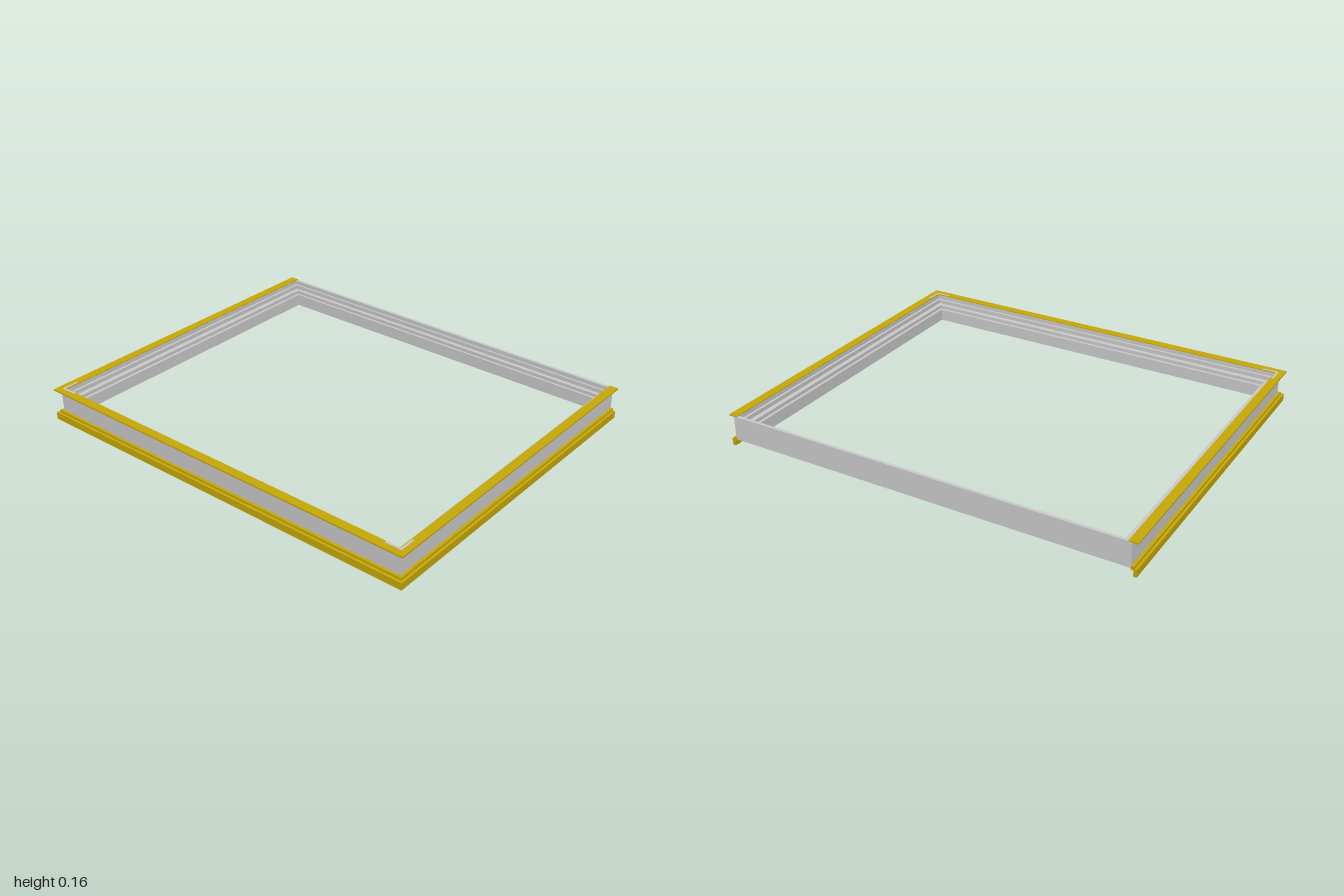
import * as THREE from 'three';

const grey = new THREE.MeshStandardMaterial({ color: 0xcccccc, flatShading: true });
const yellow = new THREE.MeshStandardMaterial({ color: 0xc8aa08, flatShading: true });

const HALF_X = 0.975, FRONT = 0.805, BACK = -0.83;

// Mitred rectangular frame swept from a closed profile of [inset, height]
function sweptFrame(profile) {
  const n = profile.length, pos = [], idx = [];
  const backScale = 0.8; // the back rail is slimmer
  for (const [sx, sz] of [[1, 1], [1, -1], [-1, -1], [-1, 1]]) {
    for (const [d, y] of profile) {
      pos.push(sx * (HALF_X - d), y, sz > 0 ? FRONT - d : BACK + d * backScale);
    }
  }
  for (let c = 0; c < 4; c++) {
    for (let i = 0; i < n; i++) {
      const j = (i + 1) % n, e = ((c + 1) % 4) * n;
      const a = c * n + i, b = c * n + j;
      idx.push(a, e + i, b, b, e + i, e + j);
    }
  }
  const g = new THREE.BufferGeometry();
  g.setAttribute('position', new THREE.Float32BufferAttribute(pos, 3));
  g.setIndex(idx);
  const flat = g.toNonIndexed();
  flat.computeVertexNormals();
  return flat;
}

// Strip along the left, front and right sides, open at the back
function threeSidedStrip(outer, inner, y0, y1) {
  const xo = HALF_X + outer, zo = FRONT + outer;
  const xi = HALF_X + inner, zi = FRONT + inner;
  const pts = [[-xo, BACK], [-xi, BACK], [-xi, zi], [xi, zi], [xi, BACK], [xo, BACK], [xo, zo], [-xo, zo]];
  const shape = new THREE.Shape(pts.map(([x, z]) => new THREE.Vector2(x, -z)));
  const g = new THREE.ExtrudeGeometry(shape, { depth: y1 - y0, bevelEnabled: false });
  g.rotateX(-Math.PI / 2);
  g.translate(0, y0, 0);
  return g;
}

export function createModel() {
  const group = new THREE.Group();
  const add = (name, geometry, material) => {
    const mesh = new THREE.Mesh(geometry, material);
    mesh.name = name;
    group.add(mesh);
    return mesh;
  };

  // Main rails, stepped down towards the opening
  add('frameRails', sweptFrame([
    [0, 0.035], [0, 0.152], [0.018, 0.152], [0.018, 0.132], [0.03, 0.132],
    [0.03, 0.112], [0.054, 0.112], [0.054, 0.095], [0.068, 0.095], [0.068, 0.035],
  ]), grey);

  // Thin flange round the top and stepped trim round the bottom
  add('topFlange', threeSidedStrip(0.025, -0.017, 0.149, 0.156), yellow);
  add('upperTrim', threeSidedStrip(0.013, -0.002, 0.033, 0.045), yellow);
  add('trimLedge', threeSidedStrip(0.025, -0.002, 0.028, 0.034), yellow);
  add('hangingTrim', threeSidedStrip(0.025, 0.01, 0, 0.03), yellow);

  // Small angle brackets on the two front corners
  for (const s of [1, -1]) {
    const side = add('cornerBracketSide', new THREE.BoxGeometry(0.01, 0.003, 0.08), grey);
    side.position.set(s * 0.968, 0.156, 0.76);
    const front = add('cornerBracketFront', new THREE.BoxGeometry(0.08, 0.003, 0.01), grey);
    front.position.set(s * 0.933, 0.156, 0.795);
  }
  return group;
}
